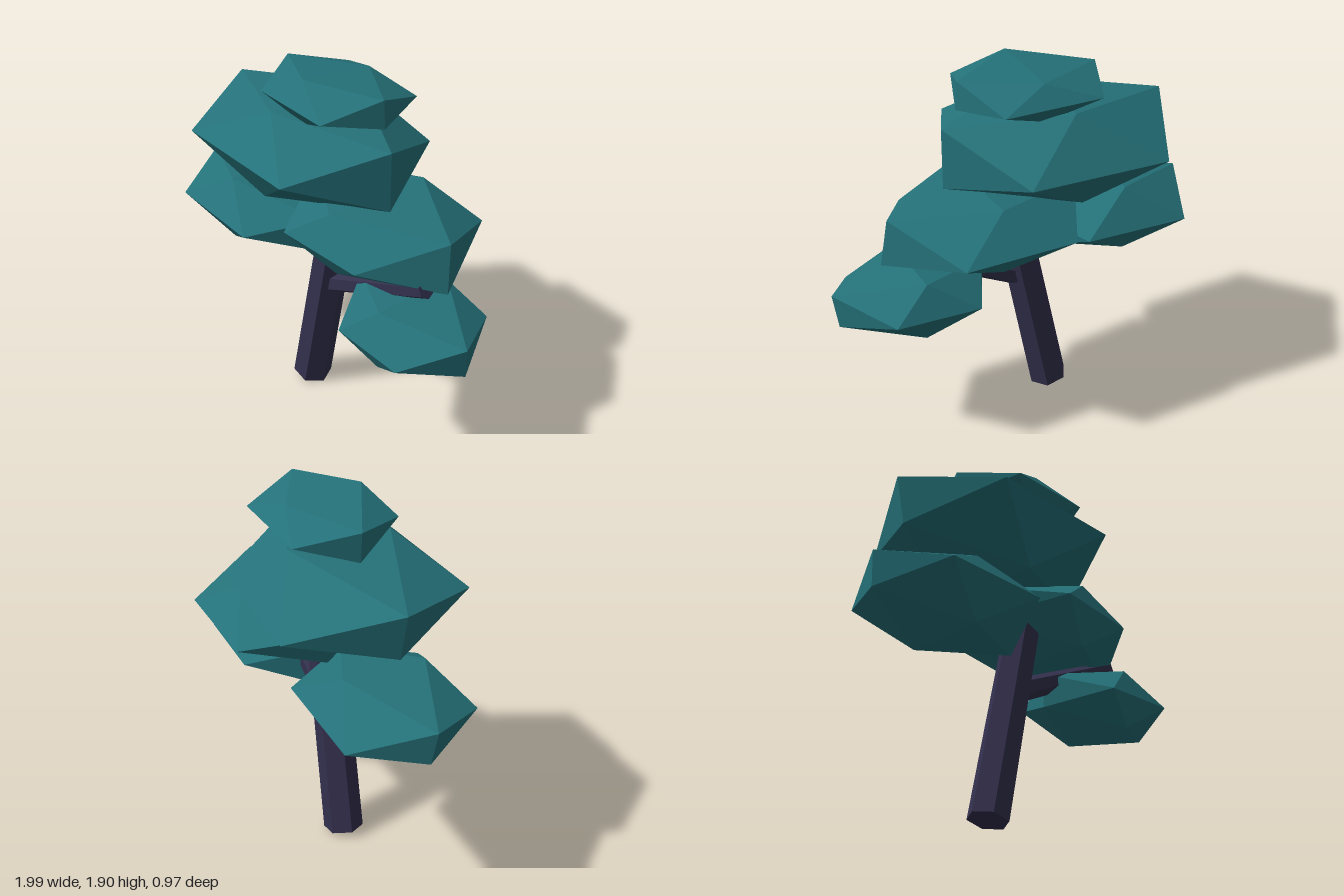
import * as THREE from 'three';

const foliage = new THREE.MeshStandardMaterial({ color: 0x25727a, flatShading: true });
foliage.name = 'foliage teal';
const bark = new THREE.MeshStandardMaterial({ color: 0x33304d, flatShading: true });
bark.name = 'bark purple';

// Six-sided tapered limb between two points in the plane z = 0.02
function limb(name, [x0, y0], [x1, y1], r0, r1) {
  const length = Math.hypot(x1 - x0, y1 - y0);
  const geo = new THREE.CylinderGeometry(r1, r0, length, 6);
  geo.rotateY(Math.PI / 2); // a corner faces +x
  const mesh = new THREE.Mesh(geo, bark);
  mesh.name = name;
  mesh.position.set((x0 + x1) / 2, (y0 + y1) / 2, 0.02);
  mesh.rotation.z = Math.atan2(x0 - x1, y1 - y0);
  return mesh;
}

// Flattened icosahedron; nudges move single corners, keyed by the signs of x, y, z
function clump(name, centre, half, nudges = {}) {
  const geo = new THREE.IcosahedronGeometry(1, 0);
  geo.rotateX(Math.PI / 2);
  const pos = geo.attributes.position;
  const v = new THREE.Vector3();
  const size = new THREE.Vector3(...half).divideScalar(0.8507);
  const sign = (n) => (n > 0.1 ? '+' : n < -0.1 ? '-' : '0');
  for (let i = 0; i < pos.count; i++) {
    v.fromBufferAttribute(pos, i);
    const nudge = nudges[sign(v.x) + sign(v.y) + sign(v.z)] || [0, 0, 0];
    v.multiply(size).add(new THREE.Vector3(...nudge));
    pos.setXYZ(i, v.x, v.y, v.z);
  }
  geo.computeVertexNormals();
  const mesh = new THREE.Mesh(geo, foliage);
  mesh.name = name;
  mesh.position.set(...centre);
  return mesh;
}

export function createModel() {
  const tree = new THREE.Group();
  tree.name = 'tree';

  // Leaning trunk and side branch
  tree.add(limb('trunk', [-0.204, 0.03], [0.045, 1.19], 0.104, 0.094));
  tree.add(limb('branch', [-0.02, 0.735], [0.695, 1.075], 0.062, 0.046));

  // Foliage clumps, top to bottom
  tree.add(clump('topFoliage', [-0.05, 1.79, -0.015], [0.37, 0.12, 0.285], {
    '-+0': [0, -0.014, 0], '--0': [0.01, -0.016, 0],
    '++0': [0, 0.016, 0], '+-0': [0.01, 0.024, 0],
    '-0+': [0.04, 0.01, 0], '+0+': [0.04, 0.01, 0],
    '-0-': [-0.02, -0.01, 0], '+0-': [0.04, -0.01, 0],
    '0++': [0.02, 0, 0.02], '0+-': [0.02, -0.04, -0.02],
  }));
  tree.add(clump('largeFoliage', [-0.2, 1.485, 0], [0.6, 0.23, 0.48], {
    '-+0': [-0.02, 0, 0], '--0': [0.03, 0.045, 0], '++0': [0, 0.023, 0],
    '-0+': [0.02, 0.045, 0], '+0+': [0.01, 0.045, -0.01],
    '-0-': [0.01, -0.015, 0], '+0-': [-0.01, -0.015, 0.03],
    '0++': [0.03, 0, -0.03], '0+-': [0.03, 0, 0.03],
  }));
  tree.add(clump('middleFoliage', [0.25, 1.17, -0.085], [0.5, 0.175, 0.405], {
    '-+0': [-0.03, -0.013, 0], '--0': [0.03, 0.028, 0],
    '++0': [-0.02, 0.017, 0], '+-0': [0.01, -0.012, 0.03],
    '-0+': [0.09, 0.01, 0.03], '+0+': [-0.05, 0, -0.02], '+0-': [-0.04, 0, 0],
    '0--': [0, 0.02, 0], '0-+': [0.02, 0.02, 0.05], '0++': [0, 0, 0.08],
  }));
  tree.add(clump('rightFoliage', [-0.535, 1.02, 0.055], [0.465, 0.175, 0.35], {
    '-+0': [0, -0.013, 0.02], '--0': [0.02, 0.03, 0],
    '++0': [-0.01, -0.05, 0], '+-0': [-0.02, -0.02, 0],
    '-0+': [0.02, 0.015, 0], '+0+': [0, 0.01, 0], '-0-': [0, -0.02, 0],
  }));
  tree.add(clump('leftFoliage', [0.595, 0.815, 0.005], [0.395, 0.16, 0.3], {
    '-+0': [0, -0.014, 0], '++0': [0, -0.014, 0.02], '+-0': [-0.02, 0.014, 0],
    '-0+': [0.05, -0.02, 0], '+0+': [-0.02, -0.01, 0], '+0-': [-0.05, 0.02, 0],
    '0++': [0, 0, 0.03], '0+-': [0, 0, -0.03], '0-+': [0, 0, 0.03],
  }));
  return tree;
}
